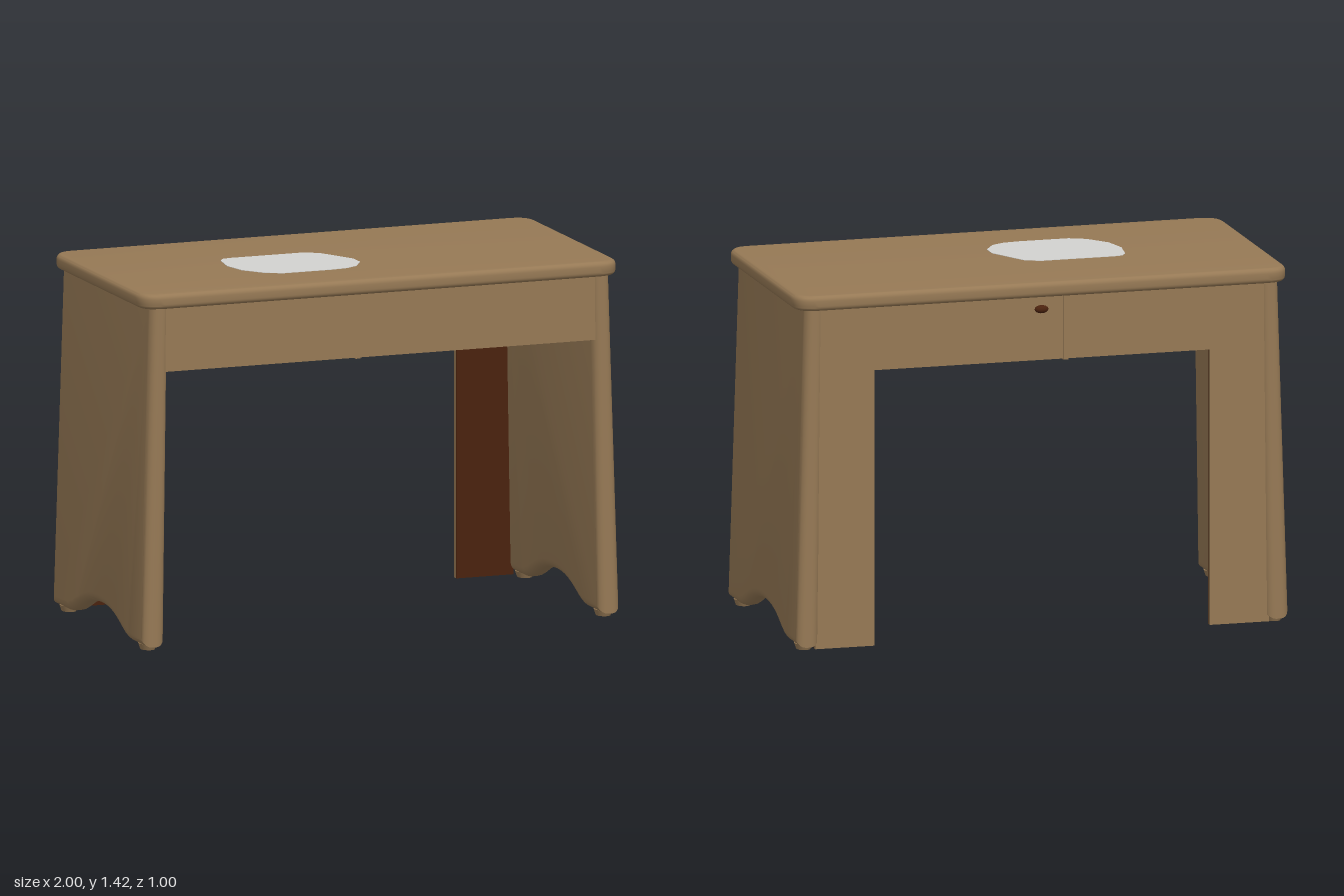
import * as THREE from 'three';
import { toCreasedNormals } from 'three/addons/utils/BufferGeometryUtils.js';

const wood = new THREE.MeshStandardMaterial({ color: 0x967955 });
const darkWood = new THREE.MeshStandardMaterial({ color: 0x4a220e });
const paper = new THREE.MeshStandardMaterial({ color: 0xd2d2d0 });

// Adds a named mesh to a parent
function add(parent, name, geometry, material, x = 0, y = 0, z = 0) {
  const mesh = new THREE.Mesh(geometry, material);
  mesh.name = name;
  mesh.position.set(x, y, z);
  parent.add(mesh);
  return mesh;
}

// Box given by its minimum and maximum corners
function addBox(parent, name, material, [x0, y0, z0], [x1, y1, z1]) {
  return add(parent, name, new THREE.BoxGeometry(x1 - x0, y1 - y0, z1 - z0), material,
    (x0 + x1) / 2, (y0 + y1) / 2, (z0 + z1) / 2);
}

// Extrusion with a rounded rim that stays inside the given outline and depth
function roundedSlab(shape, depth, radius) {
  const geometry = new THREE.ExtrudeGeometry(shape, {
    depth: depth - 2 * radius, bevelThickness: radius, bevelSize: radius,
    bevelOffset: -radius, bevelSegments: 5, curveSegments: 10,
  });
  geometry.translate(0, 0, radius);
  return geometry;
}

// Table top: plan with rounded corners, soft rim
function topGeometry() {
  const w = 1, d = 0.496, r = 0.09;
  const s = new THREE.Shape();
  s.moveTo(-w + r, -d);
  s.lineTo(w - r, -d);
  s.quadraticCurveTo(w, -d, w, -d + r);
  s.lineTo(w, d - r);
  s.quadraticCurveTo(w, d, w - r, d);
  s.lineTo(-w + r, d);
  s.quadraticCurveTo(-w, d, -w, d - r);
  s.lineTo(-w, -d + r);
  s.quadraticCurveTo(-w, -d, -w + r, -d);
  const g = roundedSlab(s, 0.06, 0.02);
  g.rotateX(-Math.PI / 2);
  return toCreasedNormals(g, 0.6);
}

// Side panel: arched bottom edge, rounded rim, leaning outward towards the floor
function sideGeometry(side) {
  const s = new THREE.Shape();
  s.moveTo(0.482, 1.39);
  s.lineTo(-0.482, 1.39);
  s.lineTo(-0.494, 0.018);
  s.lineTo(-0.34, 0.018);
  s.bezierCurveTo(-0.24, 0.02, -0.2, 0.105, 0, 0.107);
  s.bezierCurveTo(0.2, 0.105, 0.24, 0.02, 0.34, 0.018);
  s.lineTo(0.494, 0.018);
  s.closePath();
  const g = roundedSlab(s, 0.09, 0.036);
  g.rotateY(Math.PI / 2);
  if (side < 0) g.rotateY(Math.PI);
  const p = g.attributes.position;
  for (let i = 0; i < p.count; i++) {
    const t = Math.abs(p.getX(i)) / 0.09;
    const h = p.getY(i) / 1.355;
    const inner = 0.908 - 0.022 * h;
    const outer = 1 - 0.04 * h;
    p.setX(i, side * (inner + (outer - inner) * t));
  }
  return toCreasedNormals(g, 0.6);
}

export function createModel() {
  const model = new THREE.Group();
  model.name = 'desk';

  add(model, 'tableTop', topGeometry(), wood, 0, 1.355, 0);

  // Side panels, feet and narrow back legs
  for (const side of [-1, 1]) {
    const word = side < 0 ? 'right' : 'left';
    const group = new THREE.Group();
    group.name = word + 'Support';
    model.add(group);
    add(group, 'sidePanel', sideGeometry(side), wood);
    for (const z of [-0.42, 0.42]) {
      const foot = add(group, 'foot', new THREE.CylinderGeometry(0.036, 0.028, 0.024, 16), wood,
        side * 0.953, 0.012, z);
      foot.scale.z = 1.25;
    }
    const leg = addBox(group, 'backLeg', wood, [-0.12, 0.006, -0.476], [0.12, 1.12, -0.456]);
    leg.position.x = side * 0.8;
    const lining = addBox(group, 'backLegLining', darkWood, [-0.12, 0.006, -0.456], [0.12, 1.105, -0.451]);
    lining.position.x = side * 0.8;
  }

  // Aprons under the top, front and back
  addBox(model, 'frontApron', wood, [-0.92, 1.104, 0.452], [0.92, 1.37, 0.474]);
  addBox(model, 'backApron', wood, [-0.92, 1.104, -0.476], [0.92, 1.37, -0.454]);

  // Dark bottom of the drawer space, with a central rail
  addBox(model, 'drawerBottom', darkWood, [-0.9, 1.108, -0.455], [0.9, 1.13, 0.453]);
  addBox(model, 'centreRail', wood, [-0.105, 1.1, -0.479], [-0.085, 1.355, 0.476]);

  // Small knob on the back
  const knob = add(model, 'knob', new THREE.SphereGeometry(1, 16, 10), darkWood, 0.005, 1.308, -0.484);
  knob.scale.set(0.028, 0.016, 0.016);

  // Sheet lying on the top
  const outline = [[-0.4, -0.107], [-0.1, -0.107], [-0.04, -0.075], [0, 0], [0.042, 0.08],
    [0.042, 0.15], [0, 0.22], [-0.05, 0.248], [-0.12, 0.257], [-0.32, 0.257], [-0.385, 0.225],
    [-0.45, 0.14], [-0.472, 0.04], [-0.455, -0.07], [-0.435, -0.1]];
  const sheet = new THREE.Shape(outline.map(([x, z]) => new THREE.Vector2(x, -z)));
  const sheetGeometry = new THREE.ExtrudeGeometry(sheet, { depth: 0.002, bevelEnabled: false });
  sheetGeometry.rotateX(-Math.PI / 2);
  add(model, 'sheet', sheetGeometry, paper, 0, 1.4145, 0);

  return model;
}
